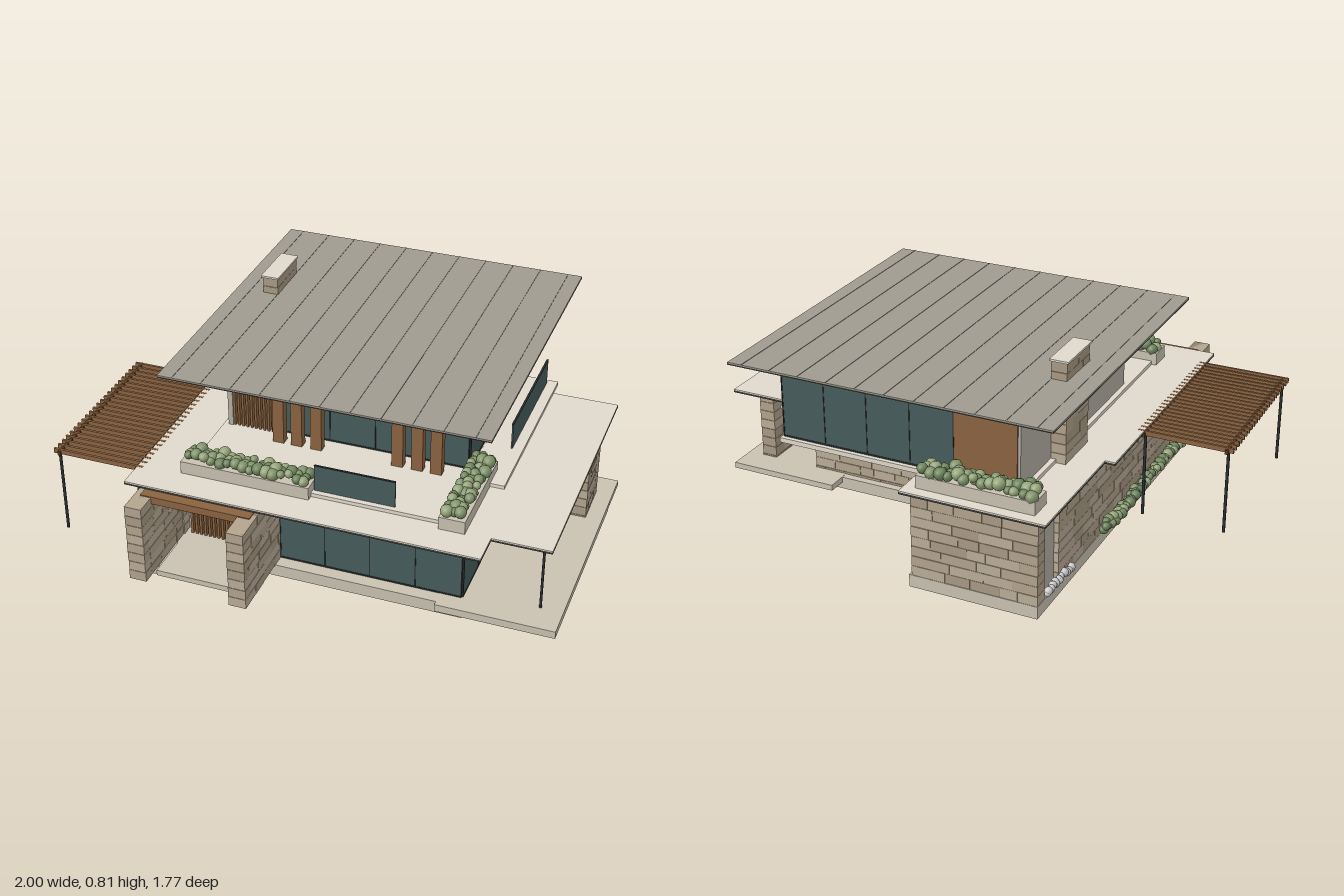
import * as THREE from 'three';
import { mergeGeometries } from 'three/addons/utils/BufferGeometryUtils.js';

const paint = (color) => new THREE.MeshStandardMaterial({ color });
const M = {
  roof: paint(0xa09b8f), slab: paint(0xc9c2b2), plate: paint(0xe0d9cc), dark: paint(0x7a7c76),
  edge: paint(0x3a3c39), soffit: paint(0x5a3822), glass: paint(0x475c5c), wood: paint(0x8a6340),
  darkWood: paint(0x5c3a22), plaster: paint(0xb5b0a6), metal: paint(0x2a2e2e),
  mortar: paint(0x8f826e), pale: paint(0xcccccc),
};
const STONE = [paint(0xb3a48e), paint(0xa99a84), paint(0xbbad98)];
const LEAF = [paint(0x7f9469), paint(0x6b835a), paint(0x94a579)];

let seed = 7;
const rand = () => (seed = (seed * 16807) % 2147483647) / 2147483647;

// Box geometry from its extents
function boxGeo(x0, x1, y0, y1, z0, z1) {
  return new THREE.BoxGeometry(x1 - x0, y1 - y0, z1 - z0)
    .translate((x0 + x1) / 2, (y0 + y1) / 2, (z0 + z1) / 2);
}

export function createModel() {
  const house = new THREE.Group();
  house.name = 'house';

  const add = (name, mat, geos) => {
    const mesh = new THREE.Mesh(Array.isArray(geos) ? mergeGeometries(geos) : geos, mat);
    mesh.name = name;
    house.add(mesh);
  };
  const box = (name, mat, ...e) => add(name, mat, boxGeo(...e));

  // Underside that narrows from an upper rectangle to a lower one
  const taper = (name, mat, [x0, x1, z0, z1], [a0, a1, b0, b1], y0, y1) => {
    const g = boxGeo(x0, x1, y0, y1, z0, z1), p = g.attributes.position;
    const mx = (x0 + x1) / 2, mz = (z0 + z1) / 2, my = (y0 + y1) / 2;
    for (let i = 0; i < p.count; i++) {
      if (p.getY(i) > my) continue;
      p.setX(i, p.getX(i) < mx ? a0 : a1);
      p.setZ(i, p.getZ(i) < mz ? b0 : b1);
    }
    g.computeVertexNormals();
    add(name, mat, g);
  };

  // Wall of coursed blocks with narrow joints over a recessed mortar core
  const stone = (name, x0, x1, y0, y1, z0, z1) => {
    const alongX = x1 - x0 > z1 - z0, lists = [[], [], []], g = 0.0008;
    const rows = Math.round((y1 - y0) / 0.041), h = (y1 - y0) / rows;
    const start = alongX ? x0 : z0, end = alongX ? x1 : z1;
    for (let r = 0; r < rows; r++) {
      for (let s = start; s < end - 1e-6;) {
        let e = s + 0.06 + rand() * 0.09;
        if (e > end - 0.03) e = end;
        const d = rand() * 0.002, y = y0 + r * h + g, t = y0 + (r + 1) * h - g;
        lists[Math.floor(rand() * 3)].push(alongX
          ? boxGeo(s + g, e - g, y, t, z0 + d, z1 - d) : boxGeo(x0 + d, x1 - d, y, t, s + g, e - g));
        s = e;
      }
    }
    lists.forEach((l, i) => l.length && add(name, STONE[i], l));
    const c = 0.004;
    box(name + 'Core', M.mortar, x0 + c, x1 - c, y0, y1 - g, z0 + c, z1 - c);
  };

  // Glazed wall with mullions and rails; at = fixed coordinate on the other axis
  const glazing = (name, axis, at, from, to, y0, y1, panes) => {
    const t = 0.006, span = (a, b, c, d, w) => axis === 'x'
      ? boxGeo(a, b, c, d, at - w, at + w) : boxGeo(at - w, at + w, c, d, a, b);
    add(name, M.glass, span(from, to, y0, y1, t));
    const bars = [span(from, to, y0, y0 + 0.006, t + 0.002), span(from, to, y1 - 0.006, y1, t + 0.002)];
    for (let i = 0; i <= panes; i++) {
      const c = from + ((to - from) * i) / panes;
      bars.push(span(c - 0.002, c + 0.002, y0, y1, t + 0.002));
    }
    add(name + 'Frame', M.metal, bars);
  };

  // Low faceted shrubs spread evenly over a strip, with uneven sizes
  const shrubs = (name, mats, x0, x1, y, z0, z1, r) => {
    const lists = mats.map(() => []);
    const nx = Math.max(1, Math.round((x1 - x0) / (r * 1.4))), nz = Math.max(1, Math.round((z1 - z0) / (r * 1.4)));
    const spread = (a, b, i, n) => a + r + (n > 1 ? ((b - a - 2 * r) * i) / (n - 1) : (b - a) / 2 - r);
    for (let i = 0; i < nx; i++)
      for (let j = 0; j < nz; j++) {
        const k = r * (0.7 + rand() * 0.45);
        lists[Math.floor(rand() * mats.length)].push(new THREE.IcosahedronGeometry(k, 1).translate(
          spread(x0, x1, i, nx) + (rand() - 0.5) * r * 0.5,
          y + (rand() - 0.4) * r,
          spread(z0, z1, j, nz) + (rand() - 0.5) * r * 0.5));
      }
    lists.forEach((l, i) => l.length && add(name, mats[i], l));
  };

  // Ground slabs
  box('mainBase', M.slab, -0.57, 0.64, 0, 0.05, -0.33, 0.6);
  box('wingBase', M.slab, -0.57, -0.06, 0, 0.05, -0.87, -0.33);
  box('entryBase', M.slab, -0.57, -0.13, 0, 0.046, 0.6, 0.75);
  box('entryStep', M.slab, -0.51, -0.175, 0.03, 0.053, 0.54, 0.79);
  box('terrace', M.slab, 0.54, 1.0, 0.02, 0.051, -0.23, 0.62);
  box('terraceBack', M.slab, 0.54, 1.0, 0.027, 0.051, -0.41, -0.23);

  // Lower storey
  const L0 = 0.05, L1 = 0.375;
  stone('leftWall', -0.57, -0.51, L0, L1, -0.69, 0.54);
  box('leftSlot', M.plaster, -0.55, -0.53, L0, L1, -0.81, -0.69);
  stone('backWall', -0.57, -0.07, L0, L1, -0.87, -0.81);
  stone('innerWall', -0.09, 0.68, 0.02, L1, -0.3, -0.24);
  stone('entryPierLeft', -0.585, -0.515, L0, 0.38, 0.5, 0.865);
  stone('entryPierRight', -0.17, -0.1, L0, 0.38, 0.5, 0.885);
  glazing('frontGlass', 'x', 0.54, -0.1, 0.62, L0, L1, 4);
  glazing('sideGlass', 'z', 0.62, -0.24, 0.54, L0, L1, 4);
  glazing('wingGlass', 'z', -0.09, -0.81, -0.3, L0, L1, 3);

  // Entrance: slatted screen, pull handle and beam
  box('entryWall', M.plaster, -0.515, -0.17, L0, L1, 0.47, 0.49);
  box('entryDoor', M.darkWood, -0.49, -0.2, L0, 0.36, 0.49, 0.5);
  const slats = [];
  for (let i = 0; i < 16; i++) {
    const x = -0.49 + i * 0.0185;
    slats.push(boxGeo(x, x + 0.01, L0, 0.36, 0.5, 0.52));
  }
  add('entrySlats', M.wood, slats);
  box('doorPull', M.metal, -0.247, -0.24, 0.14, 0.235, 0.52, 0.532);
  box('entryBeam', M.wood, -0.56, -0.12, 0.352, 0.383, 0.735, 0.78);

  // Lower roof plates with dark edges and tapered soffits
  const plates = [[-0.645, 0.74, -0.36, 0.74, M.soffit], [0.62, 0.965, -0.43, 0.61, M.soffit],
    [-0.605, -0.035, -0.89, -0.3, M.dark]];
  plates.forEach(([x0, x1, z0, z1, under]) => {
    box('lowerRoofEdge', M.edge, x0, x1, 0.384, 0.392, z0, z1);
    box('lowerRoofTop', M.plate, x0, x1, 0.392, 0.397, z0, z1);
    const i = 0.05;
    taper('lowerSoffit', under, [x0, x1, z0, z1], [x0 + i, x1 - i, z0 + i, z1 - i], 0.371, 0.384);
  });

  // Terrace pier, post and bench
  stone('terracePier', 0.87, 0.935, 0.018, 0.375, -0.3, -0.11);
  add('terracePost', M.metal, new THREE.CylinderGeometry(0.005, 0.005, 0.33, 10).translate(0.912, 0.215, 0.5));
  box('benchBase', M.slab, 0.77, 0.87, 0.05, 0.088, -0.11, 0.015);
  box('benchSeat', M.wood, 0.768, 0.872, 0.088, 0.096, -0.112, 0.017);

  // Upper floor slab
  box('upperFloor', M.plate, -0.45, 0.55, 0.393, 0.412, -0.74, 0.59);
  box('upperFloorSide', M.plate, 0.54, 0.7, 0.395, 0.411, -0.5, 0.3);

  // Upper storey
  const U0 = 0.412, U1 = 0.705;
  glazing('upperFrontGlass', 'x', 0.23, -0.2, 0.54, U0, U1, 4);
  glazing('upperSideGlass', 'z', 0.54, -0.485, 0.23, U0, U1, 3);
  glazing('upperBackGlass', 'x', -0.715, -0.17, 0.54, U0, U1, 4);
  box('upperSidePanel', M.wood, 0.53, 0.546, U0, U1, -0.718, -0.485);
  box('upperBackPanel', M.wood, -0.42, -0.17, U0, U1, -0.722, -0.706);
  box('upperLeftWall', M.plaster, -0.43, -0.41, U0, U1, -0.715, 0.26);
  box('upperScreenBack', M.darkWood, -0.41, -0.2, U0, U1, 0.222, 0.234);
  const screen = [];
  for (let i = 0; i < 12; i++) {
    const x = -0.41 + i * 0.0178;
    screen.push(boxGeo(x, x + 0.009, U0, U1, 0.234, 0.255));
  }
  add('upperScreen', M.wood, screen);
  add('upperFins', M.wood, [-0.22, -0.145, -0.065, 0.262, 0.34, 0.415]
    .map((x) => boxGeo(x, x + 0.045, U0, U1, 0.28, 0.315)));

  // Balcony guards
  box('frontGuard', M.glass, 0.05, 0.365, 0.41, 0.52, 0.562, 0.568);
  box('sideGuard', M.glass, 0.653, 0.659, 0.41, 0.52, -0.475, 0.045);
  box('frontGuardRail', M.metal, 0.05, 0.365, 0.518, 0.522, 0.561, 0.569);
  box('sideGuardRail', M.metal, 0.652, 0.66, 0.518, 0.522, -0.475, 0.045);

  // Upper roof with standing seams
  const R = [-0.605, 0.695, -0.835, 0.497];
  taper('upperSoffit', M.dark, R, [-0.45, 0.56, -0.735, 0.33], 0.7, 0.72);
  box('upperRoofEdge', M.edge, R[0], R[1], 0.72, 0.725, R[2], R[3]);
  box('upperRoof', M.roof, R[0], R[1], 0.725, 0.73, R[2], R[3]);
  const seams = [];
  for (let i = 0; i < 11; i++) {
    const x = R[0] + ((R[1] - R[0]) * (i + 0.5)) / 11;
    seams.push(boxGeo(x - 0.0015, x + 0.0015, 0.729, 0.7315, R[2], R[3]));
  }
  add('roofSeams', M.dark, seams);

  // Chimney
  stone('chimney', -0.49, -0.425, 0.397, 0.8, -0.455, -0.25);
  box('chimneyCap', M.plate, -0.495, -0.42, 0.8, 0.808, -0.46, -0.243);

  // Planters
  [[-0.47, 0.045, 0.52, 0.615], [0.545, 0.645, 0.2, 0.62], [-0.545, -0.08, -0.845, -0.75]]
    .forEach(([x0, x1, z0, z1]) => {
      box('planter', M.slab, x0, x1, 0.397, 0.448, z0, z1);
      shrubs('planterShrubs', LEAF, x0, x1, 0.464, z0, z1, 0.023);
    });

  // Ground planting
  shrubs('sideHedge', LEAF, -0.63, -0.575, 0.098, -0.35, 0.6, 0.02);
  shrubs('cornerShrubs', [M.pale], -0.59, -0.556, 0.065, -0.8, -0.57, 0.016);

  // Pergola
  const rafters = [];
  for (let i = 0; i < 23; i++) {
    const z = -0.065 + (i * 0.693) / 22;
    rafters.push(boxGeo(-1, -0.62, 0.378, 0.398, z - 0.005, z + 0.005));
  }
  add('pergolaRafters', M.wood, rafters);
  [-0.975, -0.645].forEach((x) => {
    box('pergolaBeam', M.darkWood, x - 0.006, x + 0.006, 0.374, 0.392, -0.08, 0.64);
    [-0.05, 0.63].forEach((z) => add('pergolaPost', M.metal,
      new THREE.CylinderGeometry(0.006, 0.006, 0.345, 10).translate(x, 0.2025, z)));
  });

  return house;
}
